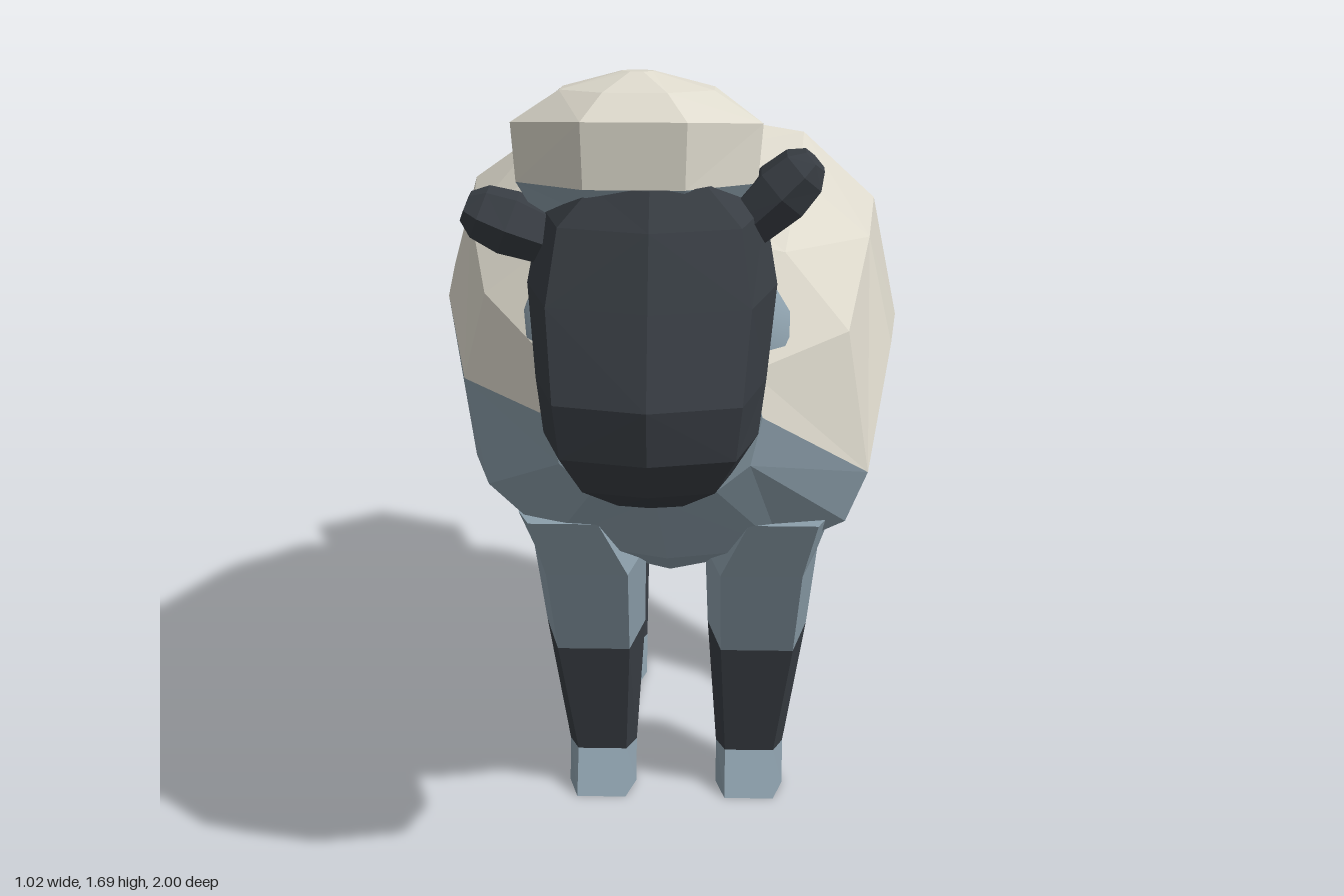
import * as THREE from 'three';

const mat = (name, color) => Object.assign(new THREE.MeshStandardMaterial({ color }), { name });

// Flat-shaded geometry from triangles sorted into one list per material
function facets(lists) {
  const geo = new THREE.BufferGeometry().setFromPoints(lists.flat());
  let start = 0;
  lists.forEach((list, m) => {
    if (list.length) geo.addGroup(start, list.length, m);
    start += list.length;
  });
  geo.computeVertexNormals();
  return geo;
}

// Joins cross-sections into a closed solid; pick(row, side) chooses the material,
// with row -1 for the first cap and rings.length - 1 for the last
function loft(rings, pick = () => 0) {
  const lists = [[], []];
  const n = rings[0].length, last = rings.length - 1;
  const mid = (r) => r.reduce((s, p) => s.add(p), new THREE.Vector3()).divideScalar(n);
  for (let j = 0; j < n; j++) {
    const k = (j + 1) % n;
    lists[pick(-1, j)].push(mid(rings[0]), rings[0][k], rings[0][j]);
    lists[pick(last, j)].push(mid(rings[last]), rings[last][j], rings[last][k]);
    for (let i = 0; i < last; i++) {
      const a = rings[i][j], b = rings[i][k], c = rings[i + 1][k], d = rings[i + 1][j];
      const tris = (i + j) % 2 ? [a, b, c, a, c, d] : [a, b, d, b, c, d];
      lists[pick(i, j)].push(...tris);
    }
  }
  return facets(lists);
}

// Splits a non-indexed solid into two colours by face centre
function paint(geo, rule) {
  const lists = [[], []], p = geo.attributes.position;
  for (let i = 0; i < p.count; i += 3) {
    const t = [0, 1, 2].map((k) => new THREE.Vector3().fromBufferAttribute(p, i + k));
    const c = t[0].clone().add(t[1]).add(t[2]).divideScalar(3);
    lists[rule(c) ? 0 : 1].push(...t);
  }
  return facets(lists);
}

// Power that swells a round section towards a box
const soft = (v, p) => Math.sign(v) * Math.pow(Math.abs(v) < 1e-6 ? 0 : Math.abs(v), p);

// One point for each of n sides, given its angle
const around = (n, shift, point) =>
  Array.from({ length: n }, (_, j) => point(((j + shift) * 2 * Math.PI) / n));

export function createModel() {
  const cream = mat('cream wool', 0xdedacd);
  const blue = mat('blue grey', 0x8da0ac);
  const dark = mat('charcoal', 0x383d43);
  const model = new THREE.Group();
  model.name = 'sheep';
  const add = (name, geo, material, parent = model) => {
    const mesh = new THREE.Mesh(geo, material);
    mesh.name = name;
    parent.add(mesh);
    return mesh;
  };

  // Body, back to front: z, centre x, bottom, widest height, top, half width, sideways slant of the widest line
  const bodyRings = [
    [-0.83, -0.02, 0.73, 0.83, 0.94, 0.14, 0],
    [-0.73, -0.02, 0.58, 1.02, 1.21, 0.31, -0.03],
    [-0.52, -0.02, 0.56, 0.93, 1.37, 0.44, 0],
    [-0.17, 0, 0.52, 1.04, 1.46, 0.51, 0.055],
    [0.2, 0, 0.49, 1.07, 1.43, 0.48, 0.05],
    [0.42, 0, 0.6, 0.9, 1.33, 0.425, 0.1],
    [0.58, -0.02, 0.79, 0.97, 1.14, 0.22, 0],
  ].map(([z, x, bottom, side, top, w, slant]) => around(12, 0, (a) => {
    const s = soft(Math.sin(a), 0.8), c = soft(Math.cos(a), 0.8);
    const lift = s * (s > 0 ? top - side : side - bottom);
    return new THREE.Vector3(x + w * c, side + lift - slant * c * (1 - Math.abs(s)), z);
  }));
  add('body', loft(bodyRings, (row, side) => (row > 0 && row < 6 && side < 6 ? 0 : 1)), [cream, blue]);

  // Neck collar, barely proud of the body
  const neck = add('neck', new THREE.SphereGeometry(1, 24, 16), blue);
  neck.scale.set(0.31, 0.25, 0.17);
  neck.position.set(-0.02, 1.07, 0.43);

  // Tail: an icosahedron standing on a corner, with a cream top
  const tailGeo = new THREE.IcosahedronGeometry(0.2, 0);
  tailGeo.rotateX(Math.atan2((1 + Math.sqrt(5)) / 2, 1));
  const tail = add('tail', paint(tailGeo, (c) => c.y > 0.09), [cream, blue]);
  tail.position.set(-0.03, 1.1, -0.82);

  // Head, chin to crown: y, back z, front z, half width
  const headRings = [
    [0.86, 0.7, 0.82, 0.08],
    [0.92, 0.62, 0.93, 0.16],
    [1.0, 0.57, 0.985, 0.21],
    [1.11, 0.53, 1.0, 0.225],
    [1.28, 0.45, 0.925, 0.245],
    [1.42, 0.4, 0.86, 0.22],
    [1.49, 0.48, 0.81, 0.14],
  ].map(([y, back, front, w]) => around(8, 0, (a) => new THREE.Vector3(
    -0.02 + w * soft(Math.sin(a), 0.65), y,
    (back + front) / 2 + ((front - back) / 2) * soft(Math.cos(a), 0.65))));
  add('head', loft(headRings), dark);

  // Wool cap, leaning back: back z, back y, front z, front y, half width;
  // the lower band is blue grey except over the brow
  const capRings = [
    [0.42, 1.37, 0.76, 1.43, 0.2],
    [0.385, 1.45, 0.8, 1.49, 0.235],
    [0.35, 1.53, 0.8, 1.62, 0.245],
    [0.47, 1.635, 0.74, 1.665, 0.15],
    [0.57, 1.68, 0.65, 1.69, 0.03],
  ].map(([z0, y0, z1, y1, w]) => around(8, 0.5, (a) => {
    const t = 0.5 + (0.5 * Math.cos(a)) / Math.cos(Math.PI / 8);
    return new THREE.Vector3(
      -0.05 + (w * Math.sin(a)) / Math.cos(Math.PI / 8), y0 + t * (y1 - y0), z0 + t * (z1 - z0));
  }));
  const brow = [6, 7, 0];
  add('woolCap', loft(capRings, (row, side) => (row > 1 || (row === 1 && brow.includes(side)) ? 0 : 1)), [cream, blue]);

  // Ears: six-sided buds, one raised higher than the other
  const earRings = [[0, 0.05, 0.06], [0.12, 0.065, 0.08], [0.18, 0.055, 0.07], [0.21, 0.03, 0.045]]
    .map(([y, rx, rz]) => around(6, 0, (a) => new THREE.Vector3(rx * Math.sin(a), y, rz * Math.cos(a))));
  const earGeo = loft(earRings);
  [['leftEar', 0.145, 1.375, -0.8], ['rightEar', -0.19, 1.35, 1.2]].forEach(([name, x, y, tilt]) => {
    const ear = add(name, earGeo, dark);
    ear.position.set(x, y, 0.66);
    ear.rotation.z = tilt;
  });

  // Legs, ground up: back y, front y, back z, front z, inner x, outer x
  const frontLeg = [
    [0, 0, 0.18, 0.35, 0.09, 0.24],
    [0.09, 0.09, 0.18, 0.29, 0.09, 0.24],
    [0.4, 0.35, 0.115, 0.33, 0.07, 0.29],
    [0.6, 0.56, 0.17, 0.42, 0.065, 0.31],
    [0.69, 0.7, 0.3, 0.485, 0.13, 0.335],
  ];
  const hindLeg = [
    [0, 0, -0.43, -0.25, 0.09, 0.24],
    [0.09, 0.09, -0.43, -0.31, 0.09, 0.24],
    [0.4, 0.37, -0.54, -0.33, 0.085, 0.305],
    [0.56, 0.56, -0.58, -0.37, 0.12, 0.35],
    [0.72, 0.72, -0.635, -0.44, 0.18, 0.405],
    [0.79, 0.77, -0.61, -0.47, 0.23, 0.4],
  ];
  const section = [[0.72, 1], [1, 0], [0.72, -1], [-0.72, -1], [-1, 0], [-0.72, 1]];
  const legParts = [['hoof', 0, 2, blue], ['sock', 1, 3, dark], ['thigh', 2, 6, blue]];
  for (const [place, rows] of [['front', frontLeg], ['hind', hindLeg]]) {
    for (const side of [1, -1]) {
      const leg = new THREE.Group();
      leg.name = place + (side > 0 ? 'LeftLeg' : 'RightLeg');
      leg.position.x = 0.015;
      const rings = rows.map(([y0, y1, back, front, inner, outer]) => section.map(([x, z]) => new THREE.Vector3(
        (side * (inner + outer)) / 2 + (x * (outer - inner)) / 2,
        (y0 + y1) / 2 + (z * (y1 - y0)) / 2,
        (back + front) / 2 + (z * (front - back)) / 2)));
      for (const [name, from, to, material] of legParts) add(name, loft(rings.slice(from, to)), material, leg);
      model.add(leg);
    }
  }
  return model;
}
